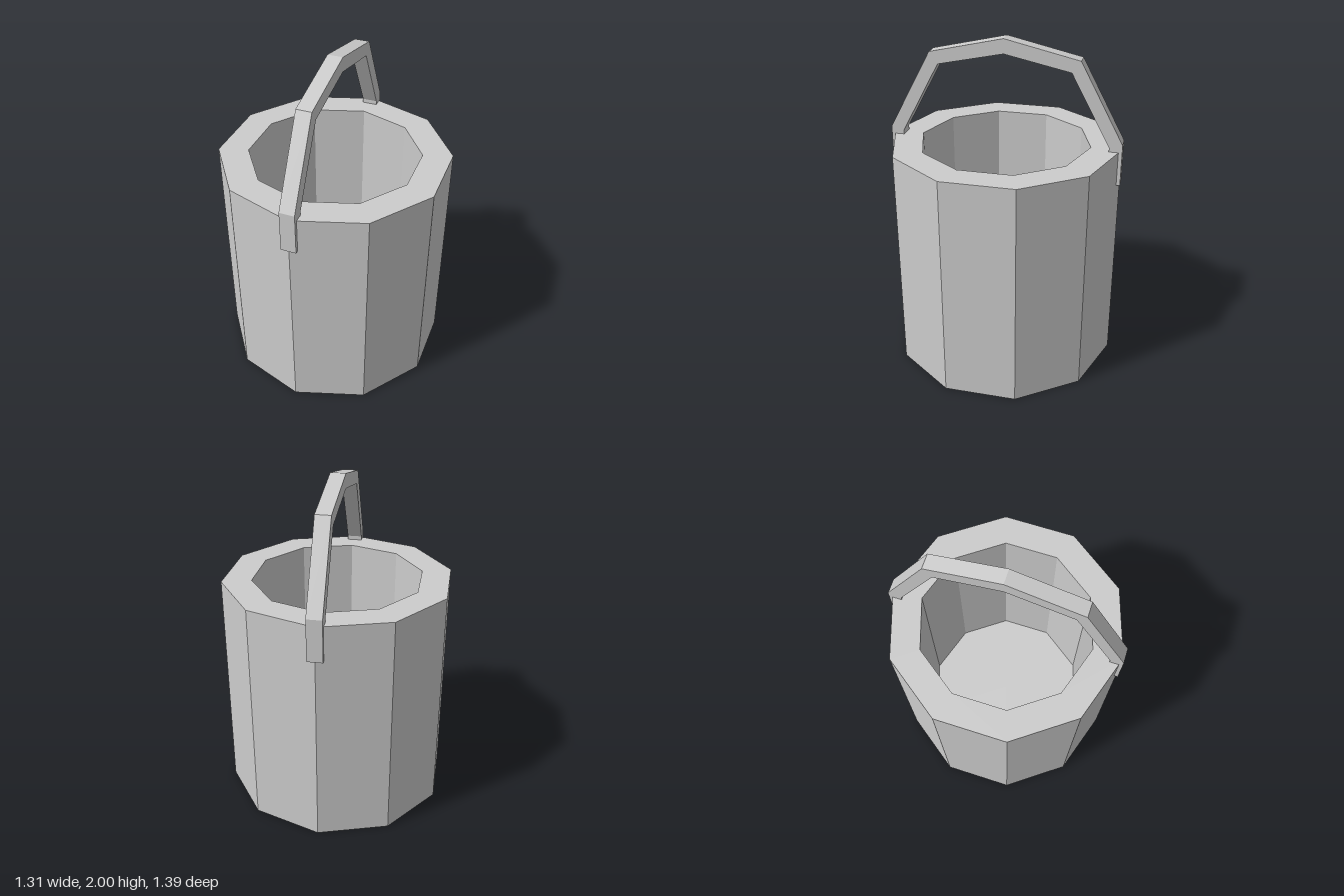
import * as THREE from 'three';

export function createModel() {
  const model = new THREE.Group();
  model.name = 'bucket';
  const grey = new THREE.MeshStandardMaterial({ color: 0xcccccc, flatShading: true });
  grey.name = 'plain grey';

  // Ten-sided hollow body: underside, outer wall, rim, inner wall, floor
  const profile = [[0, 0], [0.69, 0], [0.69, 1.38], [0.512, 1.38], [0.512, 0.15], [0, 0.15]]
    .map(([r, y]) => new THREE.Vector2(r, y));
  const body = new THREE.Mesh(new THREE.LatheGeometry(profile, 10), grey);
  body.name = 'body';
  model.add(body);

  // Angular carrying handle, arching from front to back with its ends set into the wall
  const outer = [[0.697, 1.175], [0.697, 1.425], [0.44, 1.9]];
  const inner = [[0.39, 1.83], [0.62, 1.405], [0.62, 1.175]];
  const mirror = (points) => points.map(([x, y]) => [-x, y]).reverse();
  const outline = [
    ...outer, [0, 2], ...mirror(outer),
    ...mirror(inner), [0, 1.913], ...inner,
  ].map(([x, y]) => new THREE.Vector2(x, y));
  const width = 0.09;
  const arch = new THREE.ExtrudeGeometry(new THREE.Shape(outline), { depth: width, bevelEnabled: false });
  arch.translate(0, 0, -width / 2);
  arch.rotateY(Math.PI / 2);
  const handle = new THREE.Mesh(arch, grey);
  handle.name = 'handle';
  model.add(handle);

  return model;
}
